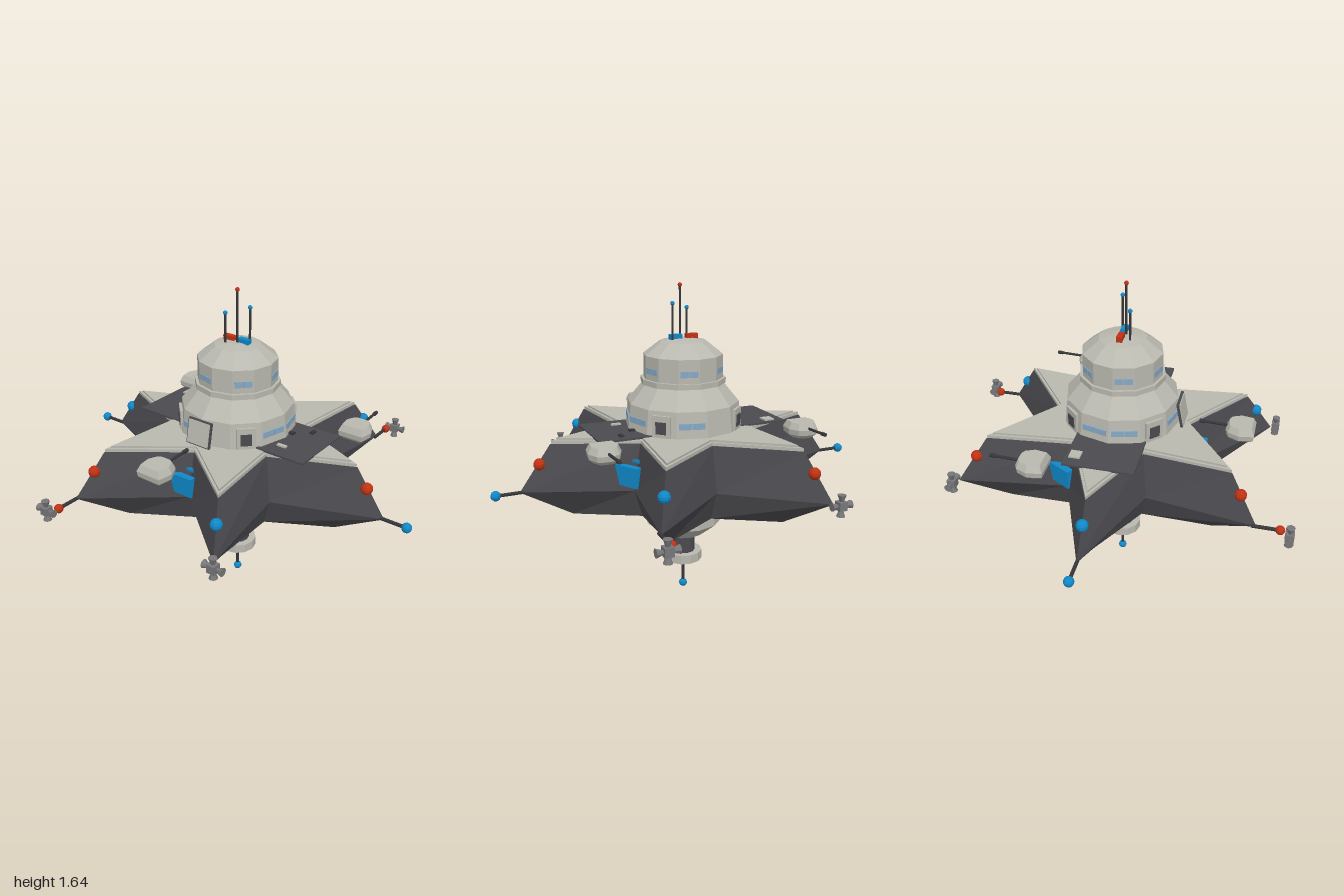
import * as THREE from 'three';

const mat = (name, color) => {
  const m = new THREE.MeshStandardMaterial({ color, flatShading: true });
  m.name = name;
  return m;
};

export function createModel() {
  const light = mat('light hull grey', 0xb9b9b0);
  const dark = mat('dark hull grey', 0x4b4b50);
  const rodGrey = mat('rod charcoal', 0x36363a);
  const mid = mat('thruster grey', 0x77777a);
  const blue = mat('beacon blue', 0x1088c8);
  const red = mat('beacon red', 0xc03214);
  const glass = mat('window blue', 0x86a9c4);

  const root = new THREE.Group();
  const add = (name, geo, m, x = 0, y = 0, z = 0, parent = root) => {
    const mesh = new THREE.Mesh(geo, m);
    mesh.name = name;
    mesh.position.set(x, y, z);
    parent.add(mesh);
    return mesh;
  };
  const group = (name, x = 0, y = 0, z = 0, turn = 0, parent = root) => {
    const g = new THREE.Group();
    g.name = name;
    g.position.set(x, y, z);
    g.rotation.y = turn;
    parent.add(g);
    return g;
  };
  const box = (w, h, d) => new THREE.BoxGeometry(w, h, d);
  const ball = (r) => new THREE.SphereGeometry(r, 10, 7);
  const rad = THREE.MathUtils.degToRad;
  const rod = (name, a, b, r, m = rodGrey, parent = root) => {
    const p = new THREE.Vector3(...a), q = new THREE.Vector3(...b);
    const d = q.clone().sub(p);
    const mesh = add(name, new THREE.CylinderGeometry(r, r, d.length(), 8), m, 0, 0, 0, parent);
    mesh.position.copy(p).add(q).multiplyScalar(0.5);
    mesh.quaternion.setFromUnitVectors(new THREE.Vector3(0, 1, 0), d.normalize());
    return mesh;
  };

  // Closed loft through rings (bottom to top), capped by fans about each ring's middle
  const loft = (rings) => {
    const pos = [], n = rings[0].length;
    const mean = (ring) => [0, 1, 2].map((k) => ring.reduce((s, p) => s + p[k], 0) / n);
    const lo = rings[0], hi = rings[rings.length - 1], cLo = mean(lo), cHi = mean(hi);
    for (let i = 0; i < n; i++) {
      const j = (i + 1) % n;
      for (let k = 0; k + 1 < rings.length; k++) {
        const a = rings[k][i], b = rings[k][j], c = rings[k + 1][j], d = rings[k + 1][i];
        pos.push(...a, ...b, ...c, ...a, ...c, ...d);
      }
      pos.push(...cLo, ...lo[j], ...lo[i], ...cHi, ...hi[i], ...hi[j]);
    }
    const g = new THREE.BufferGeometry();
    g.setAttribute('position', new THREE.Float32BufferAttribute(pos, 3));
    g.computeVertexNormals();
    return g;
  };
  const star = (tip, valley, y) => Array.from({ length: 12 }, (_, i) => {
    const r = i % 2 ? valley : tip, a = i * Math.PI / 6;
    return [r * Math.cos(a), y, -r * Math.sin(a)];
  });

  // Six-armed hull and its layered deck
  add('hull', loft([star(0.6, 0.34, 0.53), star(0.86, 0.4, 0.68), star(0.7, 0.35, 0.906)]), dark);
  add('deckPlate', loft([star(0.695, 0.345, 0.904), star(0.695, 0.345, 0.922)]), light);
  add('upperDeckPlate', loft([star(0.665, 0.33, 0.92), star(0.665, 0.33, 0.932)]), light);
  add('crossDeck', box(1.01, 0.01, 0.345), dark, 0, 0.933, 0.002);
  add('deckHatch', box(0.055, 0.012, 0.055), light, -0.425, 0.94, -0.125);
  add('deckBar', box(0.05, 0.012, 0.02), light, 0.335, 0.94, 0.09);
  add('deckVent', box(0.02, 0.014, 0.035), rodGrey, 0.38, 0.94, -0.12);
  add('deckVent', box(0.03, 0.014, 0.025), rodGrey, 0.3, 0.94, -0.05);

  // Tower, lower module and docking port, as [name, material, y0, r0, y1, r1]
  [
    ['towerBase', light, 0.92, 0.3, 1.06, 0.285],
    ['towerShoulder', light, 1.06, 0.285, 1.155, 0.205],
    ['towerRing', light, 1.153, 0.217, 1.18, 0.217],
    ['towerTop', light, 1.18, 0.202, 1.297, 0.202],
    ['dome', light, 1.297, 0.202, 1.362, 0.118],
    ['domeCap', light, 1.362, 0.118, 1.374, 0.05],
    ['lowerModule', light, 0.41, 0.202, 0.535, 0.202],
    ['lowerTaper', light, 0.335, 0.11, 0.41, 0.202],
    ['dockingNeck', dark, 0.2, 0.063, 0.336, 0.063],
  ].forEach(([name, m, y0, r0, y1, r1]) =>
    add(name, new THREE.CylinderGeometry(r1, r0, y1 - y0, 12), m, 0, (y0 + y1) / 2));

  // Docking collar, open below with a blue liner
  const collar = [[0.065, 0.18], [0.1, 0.18], [0.1, 0.228], [0.06, 0.228]];
  add('dockingCollar', new THREE.LatheGeometry(collar.map((p) => new THREE.Vector2(...p)), 12), light);
  const liner = new THREE.CylinderGeometry(0.066, 0.066, 0.016, 12);
  add('dockingLiner', liner, blue, 0, 0.191);
  add('dockingSocket', new THREE.CylinderGeometry(0.042, 0.042, 0.004, 12), dark, 0, 0.182);
  rod('lowerAntenna', [0, 0.2, 0], [0, 0.03, 0], 0.008);
  add('lowerBeacon', ball(0.022), blue, 0, 0.027);

  // Windows in pairs of panes, set on the tower facets
  const windows = (angles, y, r, w) => angles.forEach((deg) => {
    const g = group('window', 0, y, 0, rad(deg));
    [-1, 1].forEach((s) => add('windowPane', box(w / 2 - 0.003, 0.03, 0.008), glass, s * w / 4, 0, r * Math.cos(rad(15)), g));
  });
  const sixfold = [-15, 45, 105, 165, 225, 285];
  windows(sixfold, 1.225, 0.202, 0.09);
  windows(sixfold, 0.472, 0.202, 0.09);
  windows([-15, 75, 105, 165, 255, 285], 0.99, 0.294, 0.13);

  // Framed doors round the tower base
  [45, 135, 225, 315].forEach((deg) => {
    const g = group('door', 0, 0.985, 0, rad(deg));
    add('doorFrame', box(0.095, 0.11, 0.014), light, 0, 0, 0.288, g);
    add('doorPanel', box(0.055, 0.06, 0.006), dark, 0, -0.005, 0.296, g);
  });

  // Leaning front hatch
  const hatch = group('frontHatch', 0, 0.995, 0.305);
  hatch.rotation.x = -0.2;
  add('hatchBack', box(0.14, 0.13, 0.012), dark, 0, 0, 0, hatch);
  add('hatchPanel', box(0.126, 0.117, 0.008), light, 0, 0, 0.007, hatch);

  // Dome top lights and masts
  add('domeLightRed', box(0.062, 0.03, 0.03), red, -0.046, 1.38, 0);
  add('domeLightBlue', box(0.062, 0.03, 0.03), blue, 0.04, 1.38, 0);
  [[0.01, 1.635, 0.015, red], [-0.04, 1.52, 0.045, blue], [0.063, 1.55, -0.015, blue]].forEach(([x, y, z, m]) => {
    rod('mast', [x, 1.36, z], [x, y, z], 0.006);
    add('mastTip', ball(0.011), m, x, y, z);
  });

  // Beacons on the arm ridges and on the side tips
  for (let i = 0; i < 6; i++) {
    const a = i * Math.PI / 3;
    const m = [0, 2, 4].includes(i) ? red : blue;
    add('armBeacon', ball(0.03), i === 1 || i === 5 ? blue : m === red || i === 2 ? red : blue,
      0.757 * Math.cos(a), 0.81, -0.757 * Math.sin(a));
  }
  [-1, 1].forEach((s) => {
    rod('tipRod', [s * 0.84, 0.68, 0], [s * 0.975, 0.68, 0], 0.009);
    add('tipBeacon', ball(0.025), blue, s * 0.975, 0.68);
    // Longer boom with red beacon on one front and one rear arm
    rod('boom', [s * 0.43, 0.68, -s * 0.72], [s * 0.43, 0.68, -s * 0.86], 0.009);
    add('boomBeacon', ball(0.023), red, s * 0.43, 0.68, -s * 0.855);
  });

  // Thruster clusters, four bells round a block
  [[0.465, -0.9], [-0.465, 0.9], [-0.455, -0.77], [0.45, 0.77]].forEach(([x, z]) => {
    const g = group('thrusterCluster', x, 0.68, z);
    add('thrusterBlock', box(0.042, 0.042, 0.042), mid, 0, 0, 0, g);
    for (let k = 0; k < 4; k++) {
      const arm = group('thruster', 0, 0, 0, 0, g);
      arm.rotation.z = k * Math.PI / 2;
      add('thrusterBell', new THREE.CylinderGeometry(0.021, 0.009, 0.034, 8), mid, 0, 0.036, 0, arm);
    }
  });

  // Blue bay panels bridging three valleys
  const bay = new THREE.Shape([[-0.065, 0.71], [0.05, 0.71], [0.05, 0.81], [-0.105, 0.81]].map((p) => new THREE.Vector2(...p)));
  const bayGeo = new THREE.ExtrudeGeometry(bay, { depth: 0.035, bevelEnabled: false });
  [0, 120, 240].forEach((deg) => {
    const g = group('bay', 0, 0, 0, rad(deg));
    add('bayPanel', bayGeo, blue, 0, 0, 0.405, g);
    add('bayStrip', box(0.09, 0.014, 0.025), blue, 0, 0.825, 0.373, g);
  });

  // Floating gun pods with barrels pointing back
  const outline = [[0.08, -0.005], [0.055, -0.06], [0.03, -0.073], [-0.03, -0.073], [-0.055, -0.06], [-0.08, -0.005], [-0.068, 0.07], [0.068, 0.07]];
  const slice = (s, y) => outline.map(([x, z]) => [x * s, y, z * s]);
  const podGeo = loft([slice(0.7, -0.04), slice(0.95, -0.022), slice(1, 0.005), slice(0.8, 0.038)]);
  [[0, 0.605], [0.525, -0.305], [-0.525, -0.305]].forEach(([x, z]) => {
    const g = group('gunPod', x, 0.925, z);
    add('podShell', podGeo, light, 0, 0, 0, g);
    rod('podBarrel', [0, 0.012, -0.05], [0, 0.018, -0.2], 0.007, rodGrey, g);
    rod('podMuzzle', [0, 0.017, -0.18], [0, 0.018, -0.208], 0.01, rodGrey, g);
  });

  return root;
}
